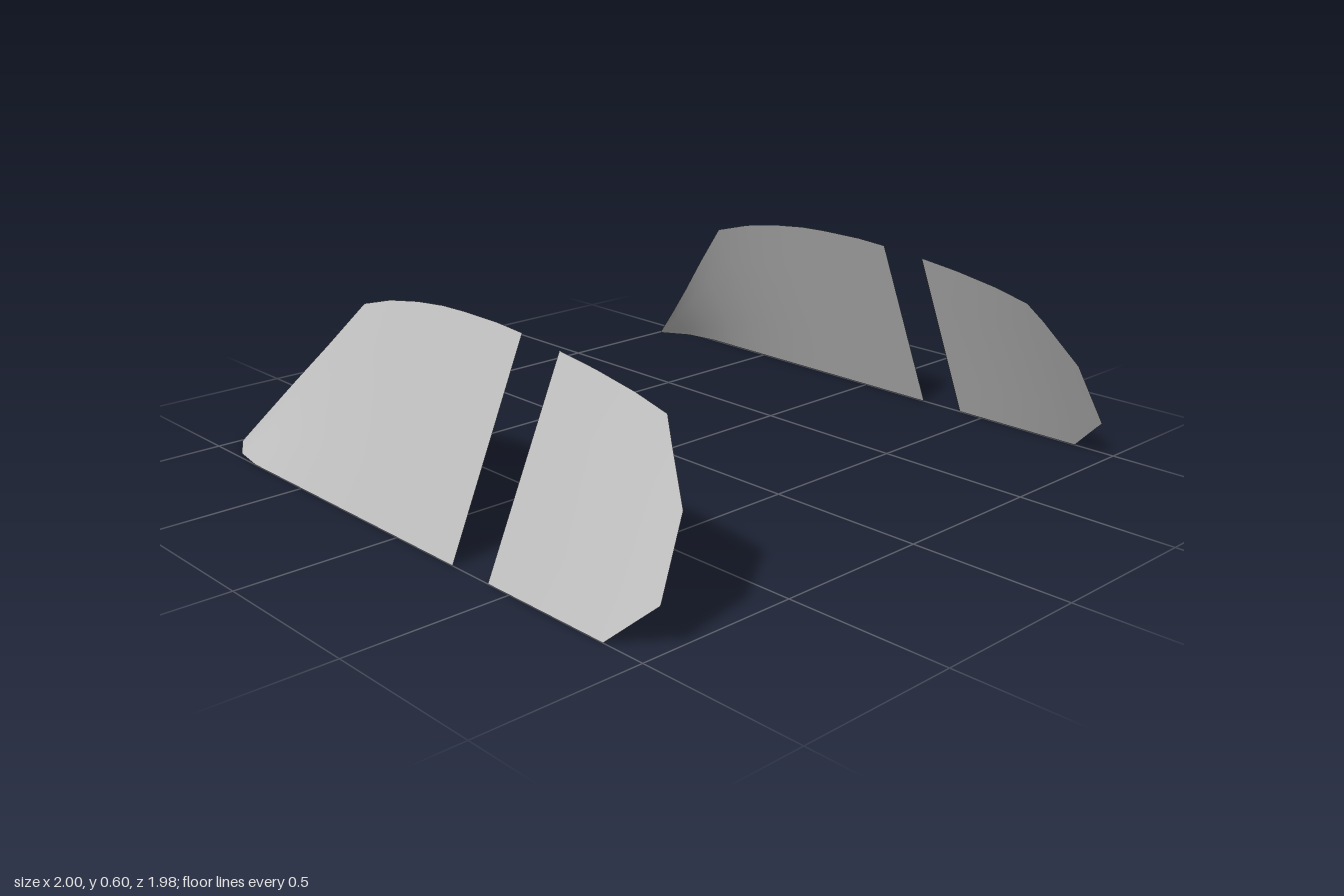
import * as THREE from 'three';

// Cross-sections, front to back: [z, bottomX, bottomY, topX, topY]
const FRONT_PANE = [
  [0.99, 0.935, 0.12, 0.932, 0.125],
  [0.957, 0.95, 0.09, 0.83, 0.32],
  [0.86, 1, 0, 0.775, 0.45],
  [0.815, 1, 0, 0.747, 0.505],
  [0.7, 1, 0, 0.747, 0.533],
  [0.55, 1, 0, 0.747, 0.558],
  [0.41, 1, 0, 0.747, 0.575],
];
const REAR_PANE = [
  [0.257, 1, 0, 0.747, 0.59],
  [0.15, 1, 0, 0.747, 0.597],
  [0, 1, 0, 0.747, 0.598],
  [-0.1, 1, 0, 0.747, 0.595],
  [-0.22, 1, 0, 0.747, 0.583],
  [-0.36, 1, 0, 0.747, 0.56],
  [-0.5, 1, 0, 0.747, 0.522],
  [-0.64, 1, 0, 0.795, 0.373],
  [-0.77, 1, 0, 0.846, 0.234],
  [-0.89, 0.98, 0, 0.888, 0.107],
  [-0.99, 0.922, 0, 0.92, 0.003],
];
const ROWS = 4;

// Curved sheet lofted through the sections; side is +1 (left) or -1 (right)
function paneGeometry(sections, side) {
  const positions = [], index = [];
  for (const [z, bx, by, tx, ty] of sections) {
    for (let r = 0; r <= ROWS; r++) {
      const t = r / ROWS;
      positions.push(side * (bx + (tx - bx) * t), by + (ty - by) * t, z);
    }
  }
  for (let s = 0; s < sections.length - 1; s++) {
    for (let r = 0; r < ROWS; r++) {
      const a = s * (ROWS + 1) + r, b = a + ROWS + 1;
      if (side > 0) index.push(a, b, a + 1, b, b + 1, a + 1);
      else index.push(a, a + 1, b, b, a + 1, b + 1);
    }
  }
  const geometry = new THREE.BufferGeometry();
  geometry.setAttribute('position', new THREE.Float32BufferAttribute(positions, 3));
  geometry.setIndex(index);
  geometry.computeVertexNormals();
  return geometry;
}

export function createModel() {
  const group = new THREE.Group();
  group.name = 'sideWindows';
  const glass = new THREE.MeshStandardMaterial({ color: 0xc0c0c0, side: THREE.DoubleSide });
  glass.name = 'grey glass';

  // Front and rear side windows, mirrored left and right
  for (const [sideName, side] of [['left', 1], ['right', -1]]) {
    for (const [paneName, sections] of [['FrontWindow', FRONT_PANE], ['RearWindow', REAR_PANE]]) {
      const pane = new THREE.Mesh(paneGeometry(sections, side), glass);
      pane.name = sideName + paneName;
      group.add(pane);
    }
  }
  return group;
}
